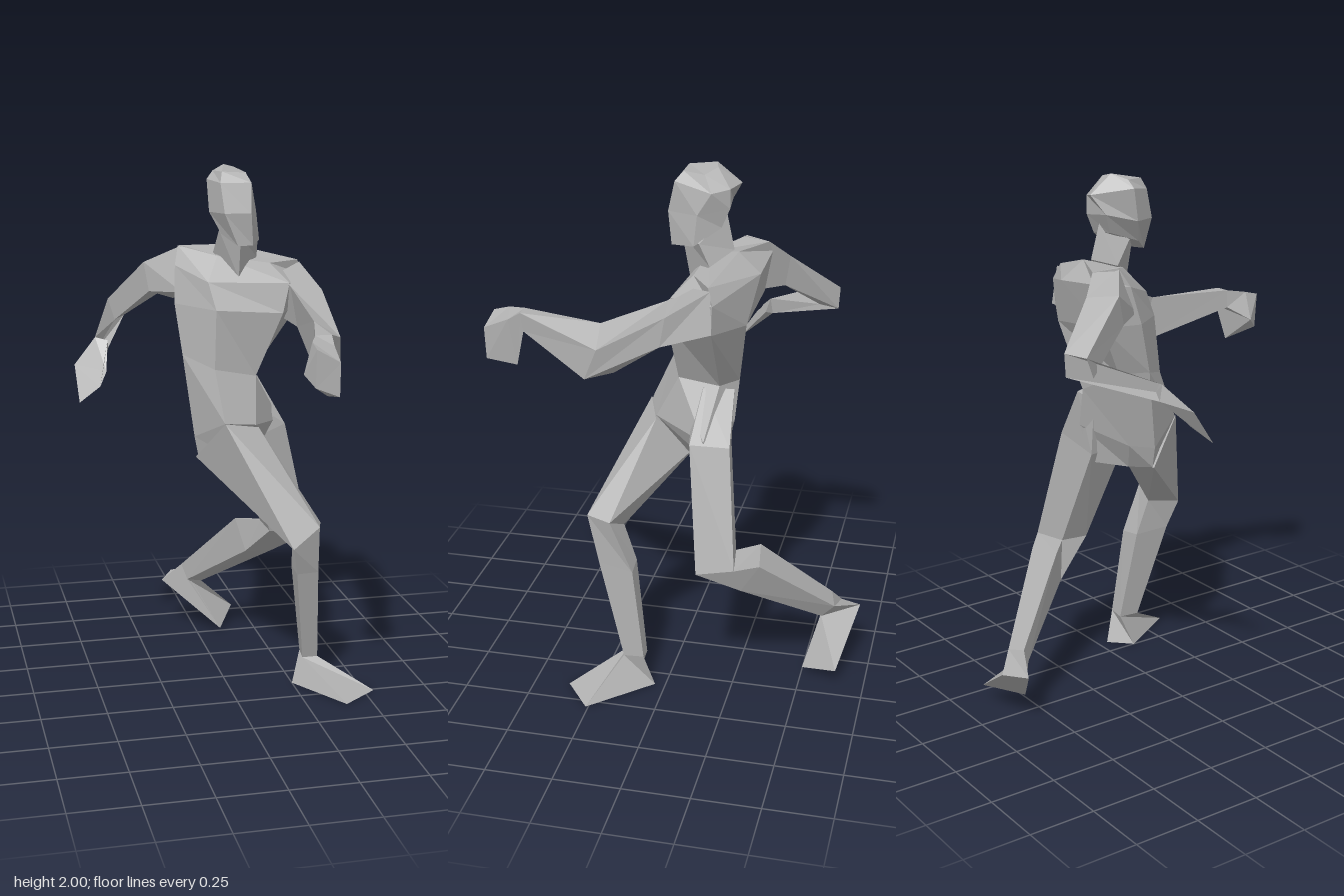
import * as THREE from 'three';

// Closed faceted skin over a row of cross-sections with equal corner counts
function loft(rings) {
  const n = rings[0].length, last = rings.length - 1;
  const tris = [];
  for (let r = 0; r < last; r++) {
    for (let i = 0; i < n; i++) {
      const j = (i + 1) % n;
      const a = rings[r][i], b = rings[r][j], c = rings[r + 1][j], d = rings[r + 1][i];
      tris.push([a, b, c], [a, c, d]);
    }
  }
  for (let i = 1; i < n - 1; i++) {
    tris.push([rings[0][0], rings[0][i + 1], rings[0][i]]);
    tris.push([rings[last][0], rings[last][i], rings[last][i + 1]]);
  }
  // Turn every face outward if the enclosed volume comes out negative
  const v = (p) => new THREE.Vector3(...p);
  const o = v(rings[0][0]);
  let volume = 0;
  for (const [a, b, c] of tris) {
    volume += v(a).sub(o).dot(v(b).sub(o).cross(v(c).sub(o)));
  }
  if (volume < 0) tris.forEach((t) => t.reverse());
  const geometry = new THREE.BufferGeometry();
  geometry.setAttribute('position', new THREE.Float32BufferAttribute(tris.flat(2), 3));
  geometry.computeVertexNormals();
  return geometry;
}

export function createModel() {
  const group = new THREE.Group();
  const grey = new THREE.MeshStandardMaterial({ color: 0xb0b0b0 });
  grey.name = 'plain grey';
  const add = (name, rings) => {
    const mesh = new THREE.Mesh(loft(rings), grey);
    mesh.name = name;
    group.add(mesh);
  };

  // Head: jaw, cheeks, brow, crown
  add('head', [
    [[0.05, 1.71, 0.03], [0, 1.75, -0.03], [0.01, 1.79, -0.15], [0.1, 1.78, -0.16], [0.155, 1.72, -0.07], [0.11, 1.71, 0.02]],
    [[0, 1.83, 0.03], [-0.04, 1.83, -0.06], [-0.01, 1.86, -0.18], [0.1, 1.85, -0.19], [0.145, 1.83, -0.08], [0.1, 1.83, 0.035]],
    [[-0.01, 1.94, 0], [-0.045, 1.95, -0.08], [0.03, 1.93, -0.22], [0.1, 1.92, -0.19], [0.14, 1.91, -0.13], [0.105, 1.94, 0.01]],
    [[0, 1.98, -0.02], [-0.02, 1.98, -0.09], [0.03, 2, -0.13], [0.07, 1.99, -0.14], [0.11, 1.97, -0.1], [0.09, 1.975, -0.02]],
  ]);

  add('neck', [
    [[0.07, 1.58, -0.04], [-0.01, 1.67, -0.13], [0.06, 1.69, -0.2], [0.16, 1.65, -0.13]],
    [[0.07, 1.74, -0.01], [0, 1.76, -0.07], [0.05, 1.82, -0.17], [0.155, 1.73, -0.09]],
  ]);

  // Torso: crotch, hips, waist, chest, shoulders, collar
  add('torso', [
    [[0, 0.93, 0.1], [-0.09, 0.9, -0.03], [-0.03, 0.9, -0.1], [0.1, 0.9, -0.18], [0.22, 0.92, -0.14], [0.1, 0.89, -0.05]],
    [[-0.02, 1.06, 0.125], [-0.105, 0.98, -0.03], [-0.08, 1, -0.13], [0.12, 1.05, -0.22], [0.255, 1.01, -0.13], [0.11, 1.04, 0.08]],
    [[-0.04, 1.25, 0.04], [-0.14, 1.29, -0.08], [-0.1, 1.29, -0.19], [0.08, 1.2, -0.23], [0.16, 1.2, -0.17], [0.13, 1.21, -0.01]],
    [[-0.03, 1.47, 0.02], [-0.16, 1.48, -0.13], [-0.13, 1.48, -0.28], [0.18, 1.45, -0.27], [0.345, 1.46, -0.175], [0.23, 1.45, 0.01]],
    [[-0.05, 1.57, -0.03], [-0.15, 1.62, -0.17], [-0.12, 1.64, -0.31], [0.1, 1.62, -0.305], [0.355, 1.57, -0.18], [0.26, 1.56, -0.01]],
    [[0, 1.66, -0.1], [-0.13, 1.69, -0.21], [-0.1, 1.68, -0.3], [0.08, 1.69, -0.22], [0.33, 1.63, -0.16], [0.2, 1.63, -0.08]],
  ]);

  // Right arm, swung back: corners run outer top, inner top, inner bottom, outer bottom
  const rightWrist = [[-0.45, 1.34, -0.25], [-0.405, 1.33, -0.23], [-0.4, 1.3, -0.24], [-0.45, 1.28, -0.26]];
  add('rightArm', [
    [[-0.12, 1.69, -0.2], [-0.1, 1.68, -0.3], [-0.14, 1.48, -0.26], [-0.13, 1.52, -0.13]],
    [[-0.25, 1.62, -0.29], [-0.165, 1.61, -0.37], [-0.18, 1.49, -0.35], [-0.235, 1.51, -0.26]],
    [[-0.36, 1.45, -0.5], [-0.29, 1.46, -0.545], [-0.29, 1.375, -0.54], [-0.34, 1.37, -0.46]],
    rightWrist,
  ]);
  add('rightHand', [
    rightWrist,
    [[-0.54, 1.25, -0.18], [-0.42, 1.22, -0.165], [-0.45, 1.17, -0.13], [-0.535, 1.12, -0.09]],
  ]);

  // Left arm, reaching forward: corners run outer top, outer bottom, inner bottom, inner top
  const leftWrist = [[0.26, 1.46, 0.55], [0.26, 1.39, 0.54], [0.2, 1.39, 0.55], [0.2, 1.46, 0.55]];
  add('leftArm', [
    [[0.34, 1.62, -0.17], [0.365, 1.47, -0.18], [0.25, 1.42, -0.1], [0.22, 1.59, -0.06]],
    [[0.39, 1.53, -0.02], [0.39, 1.42, 0], [0.28, 1.4, 0.03], [0.26, 1.55, 0]],
    [[0.39, 1.39, 0.23], [0.375, 1.27, 0.28], [0.3, 1.275, 0.19], [0.285, 1.455, 0.24]],
    leftWrist,
  ]);
  add('leftHand', [
    leftWrist,
    [[0.255, 1.43, 0.6], [0.24, 1.25, 0.575], [0.14, 1.34, 0.625], [0.17, 1.45, 0.62]],
    [[0.25, 1.39, 0.695], [0.25, 1.27, 0.69], [0.17, 1.3, 0.67], [0.17, 1.435, 0.68]],
  ]);

  // Legs: corners run front right, front left, back left, back right
  const rightAnkle = [[0.28, 0.12, 0.16], [0.34, 0.12, 0.16], [0.35, 0.13, 0.08], [0.29, 0.12, 0.08]];
  add('rightLeg', [
    [[-0.02, 1.06, 0.13], [0.12, 1.03, 0.08], [0.05, 0.9, -0.06], [-0.1, 0.9, -0.03]],
    [[0.2, 0.61, 0.31], [0.3, 0.69, 0.305], [0.33, 0.68, 0.21], [0.23, 0.63, 0.18]],
    [[0.225, 0.5, 0.27], [0.31, 0.5, 0.26], [0.33, 0.48, 0.125], [0.24, 0.49, 0.13]],
    rightAnkle,
  ]);
  add('rightFoot', [
    rightAnkle,
    [[0.4, 0, 0.365], [0.54, 0, 0.26], [0.33, 0, 0.04], [0.25, 0, 0.12]],
  ]);

  const leftAnkle = [[-0.03, 0.22, -0.56], [0.03, 0.21, -0.56], [0.03, 0.26, -0.61], [-0.05, 0.28, -0.59]];
  add('leftLeg', [
    [[0.05, 1.15, -0.05], [0.16, 1.19, -0.11], [0.13, 1.18, -0.22], [0.05, 1.15, -0.2]],
    [[0.09, 0.94, -0.04], [0.265, 1, -0.08], [0.24, 0.99, -0.225], [0.07, 0.94, -0.2]],
    [[0.22, 0.55, -0.13], [0.38, 0.53, -0.13], [0.36, 0.55, -0.27], [0.21, 0.56, -0.25]],
    [[0.16, 0.42, -0.29], [0.27, 0.42, -0.28], [0.27, 0.53, -0.35], [0.125, 0.55, -0.33]],
    leftAnkle,
  ]);
  add('leftFoot', [
    leftAnkle,
    [[0.1, 0.01, -0.5], [0.18, 0.06, -0.64], [-0.075, 0.22, -0.7], [-0.13, 0.205, -0.62]],
  ]);

  return group;
}
